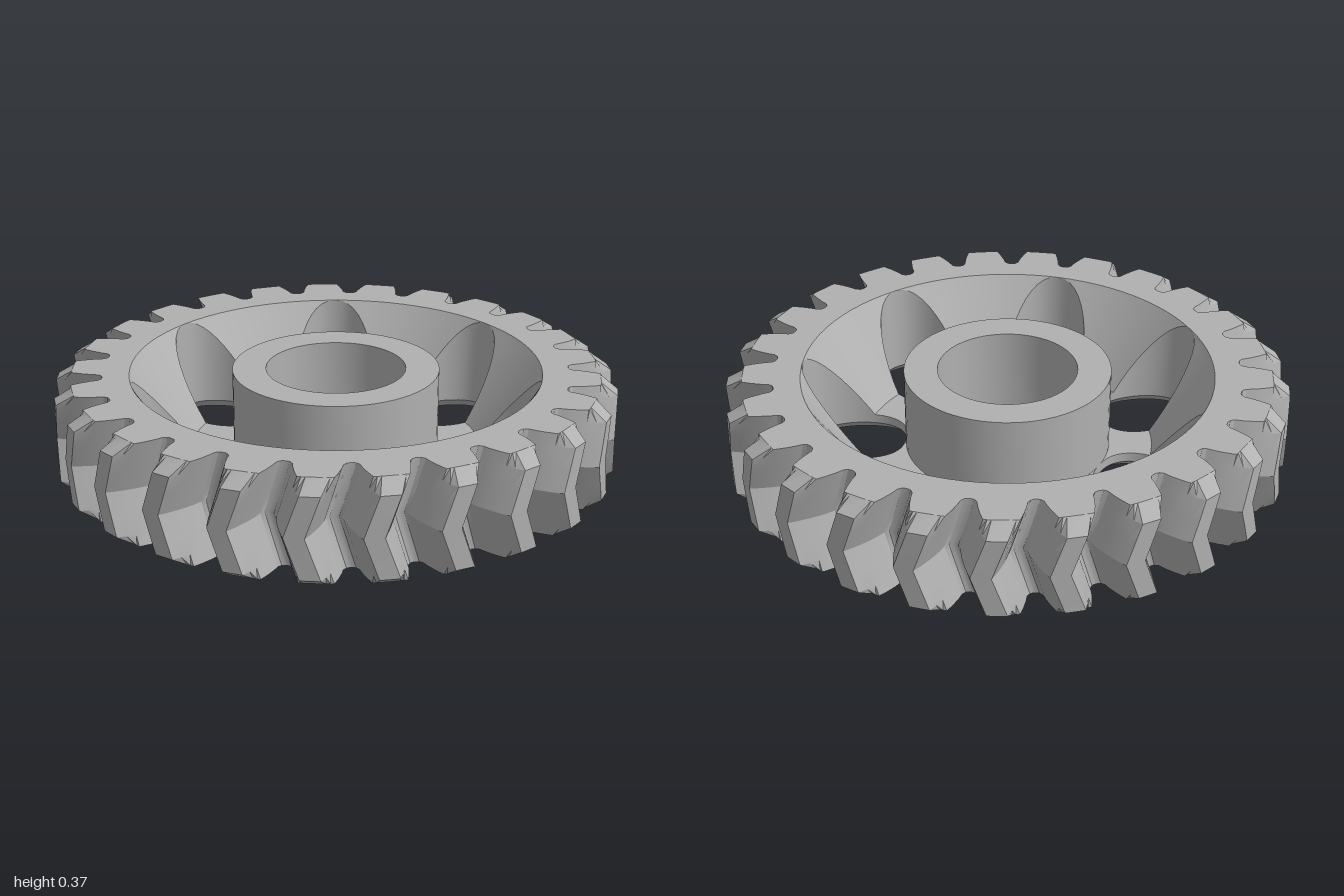
import * as THREE from 'three';
import { toCreasedNormals } from 'three/addons/utils/BufferGeometryUtils.js';

const TAU = Math.PI * 2;
const HEIGHT = 0.37, MID = HEIGHT / 2, CHAMFER = 0.04;
const TEETH = 25, TWIST = 0.065;
const HOLES = 7, HOLE_START = THREE.MathUtils.degToRad(29.5);
const HOLE_R = 0.5525, HOLE_A = 0.183, HOLE_W = 0.152, STEPS = 20;
const FLOOR_Y = 0.07, FLOOR_R = 0.524, RIM_R = 0.7355, HUB_R = 0.37, BORE_R = 0.25;

const polar = (r, a, y) => [r * Math.cos(a), y, r * Math.sin(a)];

// Surface through rows of points; its front is on the side of (row direction x point direction)
function skin(rows, crease = 0.6) {
  const n = rows[0].length, index = [];
  for (let i = 0; i < rows.length - 1; i++) {
    for (let j = 0; j < n - 1; j++) {
      const a = i * n + j, b = a + 1, d = a + n, c = d + 1;
      index.push(a, d, b, b, d, c);
    }
  }
  const geo = new THREE.BufferGeometry();
  geo.setAttribute('position', new THREE.Float32BufferAttribute(rows.flat(2), 3));
  geo.setIndex(index);
  return toCreasedNormals(geo, crease);
}

// Flat plate at height y with openings, facing up or down
function plate(outline, openings, y, up) {
  const flat = (pts) => pts.slice(0, -1).map((p) => new THREE.Vector2(p[0], up ? -p[2] : p[2]));
  const shape = new THREE.Shape(flat(outline));
  shape.holes = openings.map((o) => new THREE.Path(flat(o)));
  return new THREE.ShapeGeometry(shape).rotateX(up ? -Math.PI / 2 : Math.PI / 2).translate(0, y, 0);
}

function circle(r, y, segments) {
  const pts = [];
  for (let i = 0; i <= segments; i++) pts.push(polar(r, HOLE_START + (i / segments) * TAU, y));
  return pts;
}

// One tooth as [radius, half width], from the root up to the tip
const TOOTH = [[0.83, 0.1], [0.833, 0.089], [0.845, 0.08], [0.87, 0.077], [0.905, 0.069], [0.94, 0.058], [0.97, 0.047], [1, 0.034]];

// Closed gear outline at height y, turned for the herringbone and cut back near the faces
function gearOutline(y) {
  const limit = 0.94 + 0.06 * Math.min(1, Math.min(y, HEIGHT - y) / CHAMFER);
  const turn = TWIST * (0.5 - Math.abs(y - MID) / MID);
  const pts = [];
  for (let k = 0; k < TEETH; k++) {
    const centre = Math.PI / 2 + (k / TEETH) * TAU + turn;
    const add = (side) => ([r, w]) => pts.push(polar(Math.min(r, limit), centre + (side * w) / r, y));
    TOOTH.forEach(add(-1));
    [...TOOTH].reverse().forEach(add(1));
  }
  pts.push(pts[0]);
  return pts;
}

// Oblong lightening hole: radius and angle off its axis at parameter t
function holePoint(t, grow = 0) {
  const power = (v) => Math.sign(v) * Math.pow(Math.abs(v), 0.9);
  const r = HOLE_R - (HOLE_A + grow) * Math.cos(t);
  return { r, a: ((HOLE_W + grow) * power(Math.sin(t))) / r };
}

function holeLoop(axis, grow, height) {
  const pts = [];
  for (let i = 0; i <= STEPS * 2; i++) {
    const { r, a } = holePoint((i / STEPS) * Math.PI, grow);
    pts.push(polar(r, axis + a, height(r)));
  }
  return pts;
}

// Height of the recess: flat floor, then a cone up to the rim
const recessY = (r) =>
  FLOOR_Y + (HEIGHT - FLOOR_Y) * THREE.MathUtils.clamp((r - FLOOR_R) / (RIM_R - FLOOR_R), 0, 1);

export function createModel() {
  const model = new THREE.Group();
  model.name = 'herringboneGear';
  const metal = new THREE.MeshStandardMaterial({ color: 0xb0b0b0 });
  metal.name = 'grey metal';
  const add = (name, geo) => {
    const mesh = new THREE.Mesh(geo, metal);
    mesh.name = name;
    model.add(mesh);
  };

  // Toothed outside
  const levels = [0, CHAMFER, 0.11, MID, HEIGHT - 0.11, HEIGHT - CHAMFER, HEIGHT];
  add('teeth', skin(levels.map(gearOutline), 0.45));

  // Flat rim on top and pierced face below
  const axes = Array.from({ length: HOLES }, (_, k) => HOLE_START + (k / HOLES) * TAU);
  add('topRim', plate(gearOutline(HEIGHT), [circle(RIM_R, HEIGHT, HOLES * 12)], HEIGHT, true));
  const openings = axes.map((axis) => holeLoop(axis, 0.035, () => 0));
  add('bottomFace', plate(gearOutline(0), [circle(BORE_R, 0, 64), ...openings], 0, false));

  // Webs between the holes, and the hole walls with a bevel below
  axes.forEach((axis, k) => {
    const rows = [];
    for (let i = 0; i <= 12; i++) {
      const row = [];
      for (let j = 0; j <= STEPS; j++) {
        const { r, a } = holePoint((j / STEPS) * Math.PI);
        const angle = THREE.MathUtils.lerp(axis + a, axis + TAU / HOLES - a, i / 12);
        row.push(polar(r, angle, recessY(r)));
      }
      rows.push(row);
    }
    add(`web${k + 1}`, skin(rows));
    add(`holeWall${k + 1}`, skin([
      holeLoop(axis, 0.035, () => 0),
      holeLoop(axis, 0, () => 0.035),
      holeLoop(axis, 0, recessY),
    ]));
  });

  // Hub with its bore
  const hub = [[HUB_R, FLOOR_Y - 0.01], [HUB_R, HEIGHT], [BORE_R, HEIGHT], [BORE_R, 0]];
  const hubGeo = new THREE.LatheGeometry(hub.map(([x, y]) => new THREE.Vector2(x, y)), 64);
  add('hub', toCreasedNormals(hubGeo, 0.6));

  return model;
}
